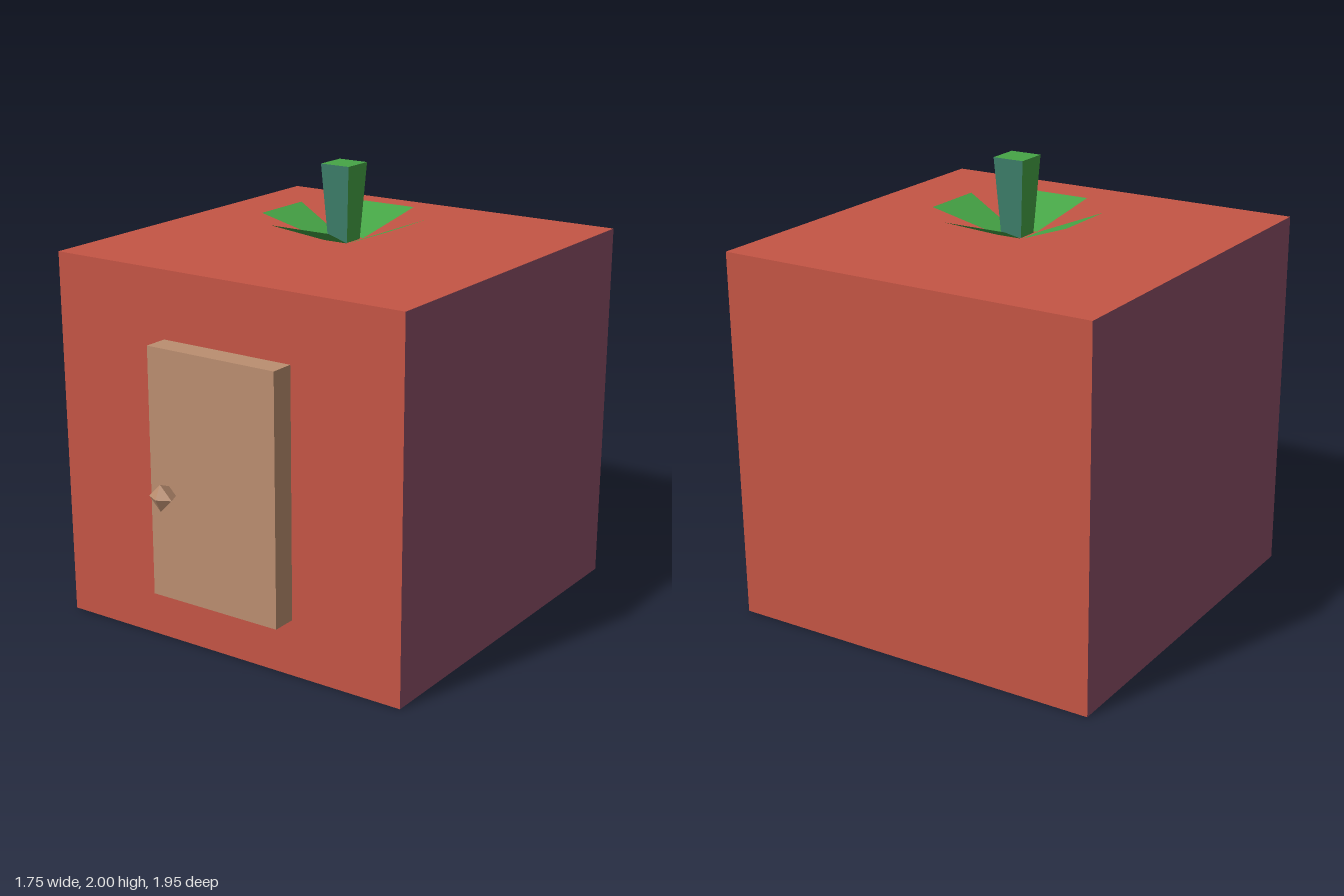
import * as THREE from 'three';

const material = (name, color, side = THREE.FrontSide) => {
  const m = new THREE.MeshStandardMaterial({ color, side });
  m.name = name;
  return m;
};

// Box from y0 to y1 whose half width goes from `bottom` to `top`, without its underside
function openFrustum(bottom, top, y0, y1) {
  const geo = new THREE.BoxGeometry(2, 1, 2);
  const pos = geo.attributes.position;
  for (let i = 0; i < pos.count; i++) {
    const up = pos.getY(i) > 0;
    const s = up ? top : bottom;
    pos.setXYZ(i, pos.getX(i) * s, up ? y1 : y0, pos.getZ(i) * s);
  }
  const index = Array.from(geo.index.array);
  index.splice(18, 6);
  geo.setIndex(index);
  geo.clearGroups();
  for (let face = 0; face < 5; face++) geo.addGroup(face * 6, 6, face);
  geo.computeVertexNormals();
  return geo;
}

// Flat leaf pointing to +z, rising and widening outwards
function leafGeometry() {
  const geo = new THREE.BufferGeometry();
  geo.setAttribute('position', new THREE.Float32BufferAttribute([
    -0.06, 1.662, 0.065, 0.06, 1.662, 0.065, 0.15, 1.765, 0.335, -0.15, 1.765, 0.335,
  ], 3));
  geo.setIndex([0, 2, 1, 0, 3, 2]);
  geo.computeVertexNormals();
  return geo;
}

export function createModel() {
  const red = material('red wall', 0xc55545, THREE.DoubleSide);
  const purple = material('purple wall', 0x8c4f66, THREE.DoubleSide);
  const wood = material('wood', 0xbb8e70);
  const green = material('leaf green', 0x46a546, THREE.DoubleSide);
  const teal = material('stem teal', 0x3e806b);

  const model = new THREE.Group();
  const add = (name, geo, mat, parent = model) => {
    const mesh = new THREE.Mesh(geo, mat);
    mesh.name = name;
    parent.add(mesh);
    return mesh;
  };

  // House body, open underneath, with purple sides
  add('body', openFrustum(0.87, 0.877, 0, 1.66), [purple, purple, red, red, red])
    .position.z = -0.102;

  // Door and faceted knob
  add('door', new THREE.BoxGeometry(0.645, 1.105, 0.112), wood).position.set(0.018, 0.808, 0.829);
  const profile = [[0.035, 0], [0.06, 0.06], [0, 0.092]].map(([x, y]) => new THREE.Vector2(x, y));
  const knob = new THREE.LatheGeometry(profile, 4).toNonIndexed();
  knob.computeVertexNormals();
  knob.rotateX(Math.PI / 2);
  add('doorKnob', knob, wood).position.set(-0.207, 0.73, 0.884);

  // Stem with four leaves on the roof
  const top = new THREE.Group();
  top.name = 'roofPlant';
  top.position.z = -0.105;
  model.add(top);
  add('stem', openFrustum(0.05, 0.072, 1.66, 2), [green, green, green, teal, teal], top);
  const leaf = leafGeometry();
  for (let i = 0; i < 4; i++) add('leaf', leaf, green, top).rotation.y = i * Math.PI / 2;

  return model;
}
